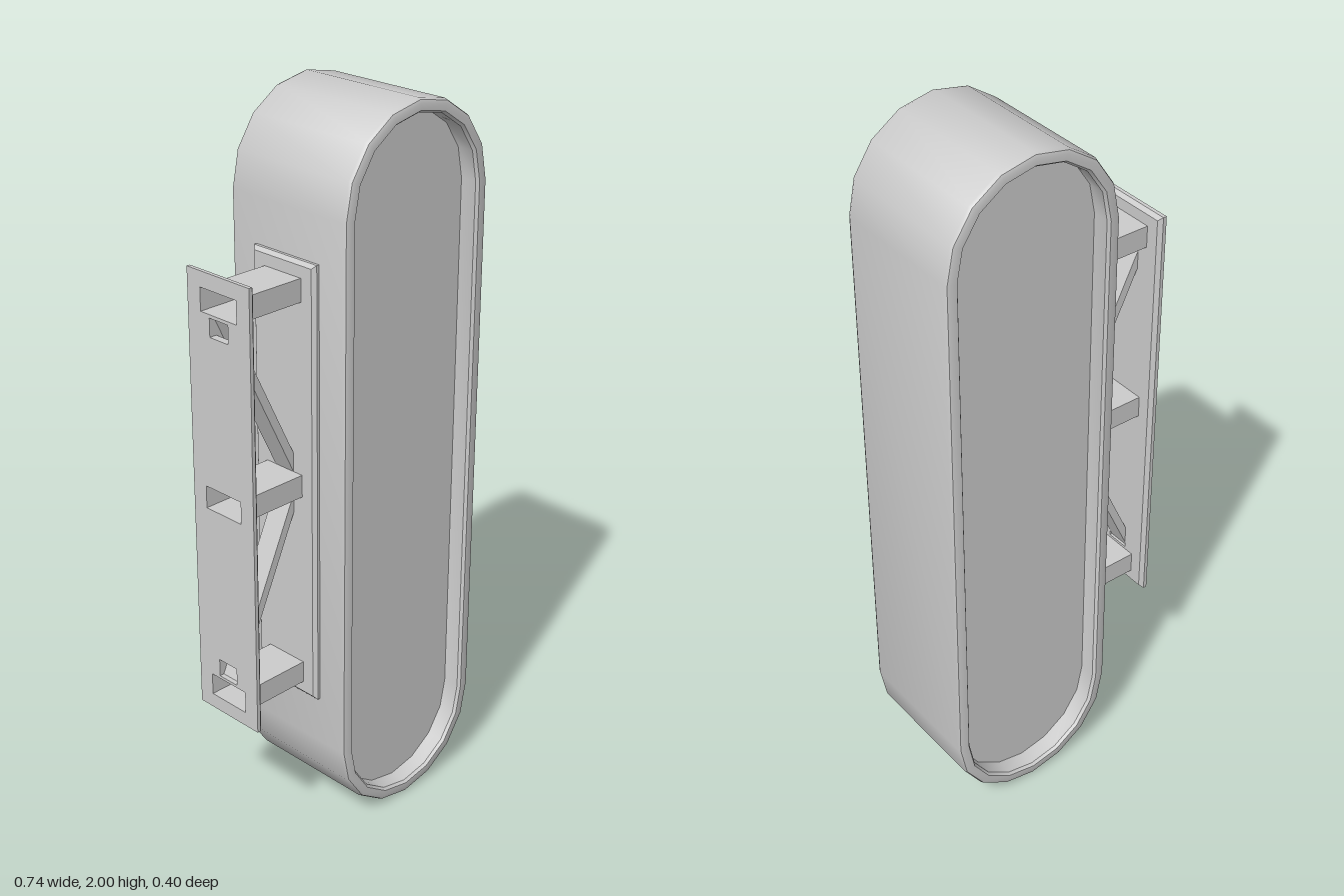
import * as THREE from 'three';
import { toCreasedNormals } from 'three/addons/utils/BufferGeometryUtils.js';

const CX = 0.114, R = 0.253, ARC = 8;

// Stadium outline, counter-clockwise seen from the front, shrunk by inset
function outline(inset) {
  const pts = [], r = R - inset;
  for (const [cy, start] of [[2 - R, 0], [R, Math.PI]])
    for (let i = 0; i <= ARC; i++) {
      const a = start + (i / ARC) * Math.PI;
      pts.push(new THREE.Vector2(CX + r * Math.cos(a), cy + r * Math.sin(a)));
    }
  return pts;
}

// Casing with rounded rims, swept through [inset, z] cross-sections
function casingGeometry() {
  const front = [[0.036, 0.145], [0.036, 0.192], [0.03, 0.2], [0.012, 0.2], [0.004, 0.197], [0, 0.188]];
  const rings = [...front, ...front.map(([i, z]) => [i, -z]).reverse()];
  const pos = [], index = [];
  const n = 2 * (ARC + 1);
  rings.forEach(([inset, z]) => outline(inset).forEach(p => pos.push(p.x, p.y, z)));
  for (let k = 0; k < rings.length - 1; k++)
    for (let i = 0; i < n; i++) {
      const a = k * n + i, b = k * n + (i + 1) % n, c = a + n, d = b + n;
      index.push(a, c, b, b, c, d);
    }
  const g = new THREE.BufferGeometry();
  g.setAttribute('position', new THREE.Float32BufferAttribute(pos, 3));
  g.setIndex(index);
  return toCreasedNormals(g, 0.6);
}

const tubes = [0.462, 1.02, 1.552];
const TUBE_H = 0.062, TUBE_W = 0.128, BRACE_H = 0.054, BRACE_W = 0.066;
const braces = [[0.525, 0.975], [1.488, 1.065]];

// Bevelled mounting plate in the yz plane, thickness along +x, optional [y, height, width] holes
function plateGeometry(depth, holes) {
  const rect = (C, w, y0, y1) => new C([[-w, y0], [w, y0], [w, y1], [-w, y1]].map(p => new THREE.Vector2(...p)));
  const shape = rect(THREE.Shape, 0.11, 0.39, 1.625);
  for (const [y, h, w] of holes) shape.holes.push(rect(THREE.Path, w / 2, y - h / 2, y + h / 2));
  const g = new THREE.ExtrudeGeometry(shape, { depth, steps: 2, bevelEnabled: false });
  const p = g.attributes.position;
  for (let i = 0; i < p.count; i++) {
    if (p.getZ(i) < depth * 0.9 || Math.abs(p.getX(i)) < 0.105) continue;
    p.setX(i, p.getX(i) - Math.sign(p.getX(i)) * 0.01);
    p.setY(i, p.getY(i) + (p.getY(i) > 1 ? -0.01 : 0.01));
  }
  g.rotateY(Math.PI / 2);
  g.computeVertexNormals();
  return g;
}

// Open-ended rectangular tube between two x positions, sheared from y0 to y1
function tubeGeometry(x0, x1, y0, y1, h, w) {
  const g = new THREE.BoxGeometry(x1 - x0, h, w);
  g.setIndex(Array.from(g.index.array).slice(12));
  g.clearGroups();
  const p = g.attributes.position;
  for (let i = 0; i < p.count; i++) p.setY(i, p.getY(i) + (p.getX(i) < 0 ? y0 : y1));
  g.translate((x0 + x1) / 2, 0, 0);
  const flat = g.toNonIndexed();
  flat.computeVertexNormals();
  return flat;
}

export function createModel() {
  const model = new THREE.Group();
  model.name = 'wallSign';
  const solid = new THREE.MeshStandardMaterial({ color: 0xcccccc });
  const thin = new THREE.MeshStandardMaterial({ color: 0xcccccc, side: THREE.DoubleSide });
  const add = (name, geometry, material = solid) => {
    const mesh = new THREE.Mesh(geometry, material);
    mesh.name = name;
    model.add(mesh);
    return mesh;
  };

  // Sign box and its two recessed faces
  add('casing', casingGeometry());
  const panel = new THREE.ShapeGeometry(new THREE.Shape(outline(0.036)));
  add('frontPanel', panel, thin).position.z = 0.145;
  add('backPanel', panel, thin).position.z = -0.145;

  // Wall plate is pierced where tubes and braces meet it
  const holes = [
    ...tubes.map(y => [y, TUBE_H, TUBE_W]),
    ...braces.map(([y]) => [y + (y < 1 ? 0.001 : -0.001), BRACE_H - 0.004, BRACE_W]),
  ];
  add('wallPlate', plateGeometry(0.021, holes)).position.x = -0.368;

  // Plate on the sign side, bevel facing the wall
  const signPlate = add('signPlate', plateGeometry(0.018, []));
  signPlate.rotation.y = Math.PI;
  signPlate.position.x = -0.138;

  // Hollow arms and diagonal braces
  for (const y of tubes) add('arm', tubeGeometry(-0.366, -0.15, y, y, TUBE_H, TUBE_W), thin);
  for (const [y0, y1] of braces) add('brace', tubeGeometry(-0.356, -0.15, y0, y1, BRACE_H, BRACE_W), thin);

  return model;
}
